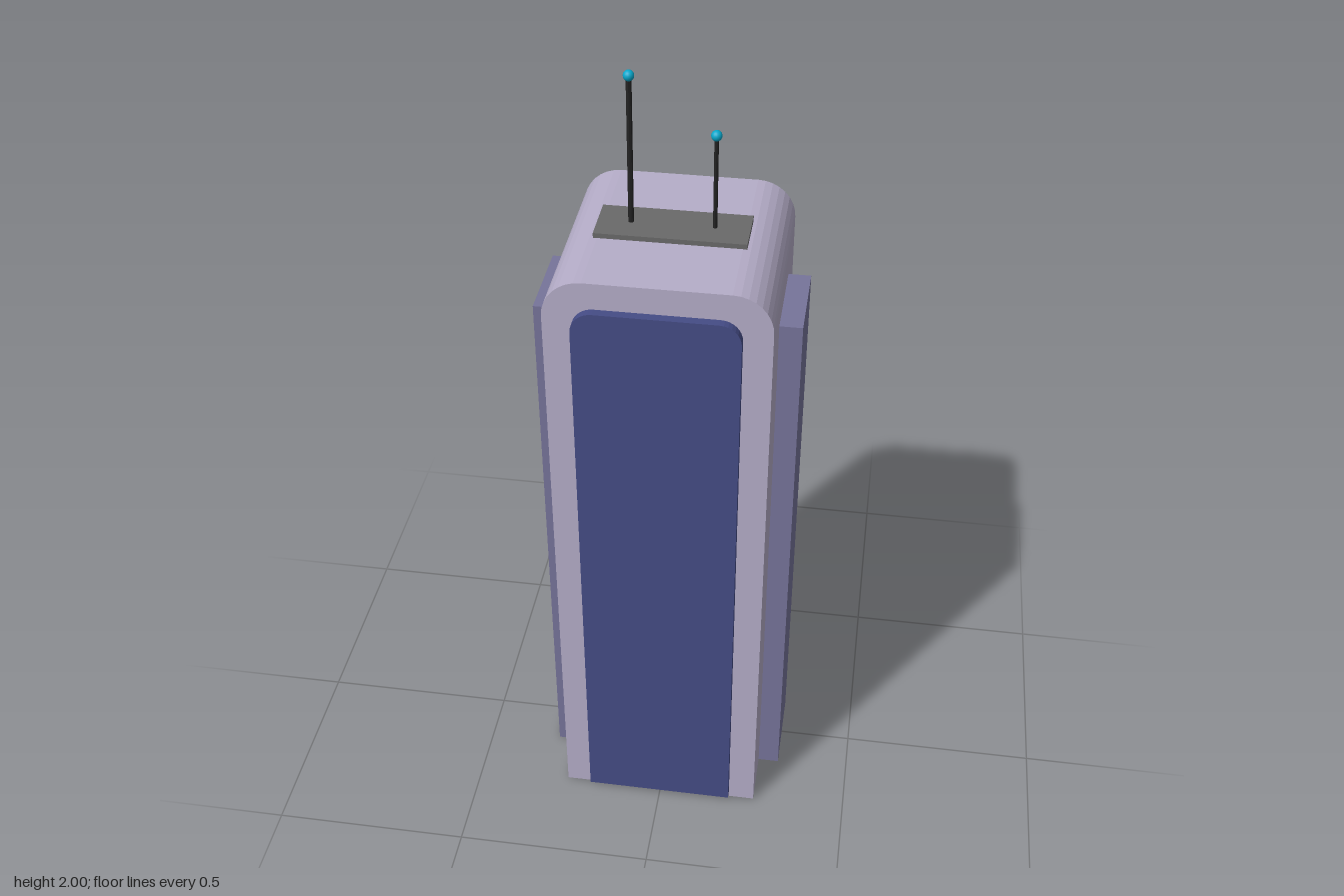
import * as THREE from 'three';

const mat = (color) => new THREE.MeshStandardMaterial({ color, flatShading: true });

// Slab with a square foot and rounded top corners, extruded along z and centred
function archedSlab(halfWidth, bottom, top, radius, depth) {
  const s = new THREE.Shape();
  s.moveTo(-halfWidth, bottom);
  s.lineTo(halfWidth, bottom);
  s.lineTo(halfWidth, top - radius);
  s.absarc(halfWidth - radius, top - radius, radius, 0, Math.PI / 2, false);
  s.lineTo(-halfWidth + radius, top);
  s.absarc(-halfWidth + radius, top - radius, radius, Math.PI / 2, Math.PI, false);
  s.closePath();
  return new THREE.ExtrudeGeometry(s, { depth, bevelEnabled: false, curveSegments: 4 })
    .translate(0, 0, -depth / 2);
}

export function createModel() {
  const model = new THREE.Group();
  model.name = 'tower';

  const add = (name, geometry, material, x = 0, y = 0, z = 0) => {
    const mesh = new THREE.Mesh(geometry, material);
    mesh.name = name;
    mesh.position.set(x, y, z);
    model.add(mesh);
    return mesh;
  };

  // Main block
  add('body', archedSlab(0.257, 0.002, 1.62, 0.092, 0.514), mat(0xb5adc8));

  // Glazed panels standing proud of the front and back
  const glass = mat(0x454c86);
  for (const [name, side] of [['frontPanel', 1], ['backPanel', -1]]) {
    add(name, archedSlab(0.19, 0.02, 1.555, 0.05, 0.04), glass, 0, 0, side * 0.259);
  }

  // Core slab running through the block and showing as a fin on each side
  add('sideFins', new THREE.BoxGeometry(0.622, 1.455, 0.225), mat(0x77749a), 0, 0.7275, 0);

  // Roof plate
  add('roofPlate', new THREE.BoxGeometry(0.349, 0.02, 0.13), mat(0x6a6a6a), 0, 1.622, 0);

  // Antennas with beacon lights
  const rodMat = mat(0x222222);
  const beaconMat = new THREE.MeshStandardMaterial({ color: 0x06a8cc });
  for (const [side, x, tip, radius] of [['right', -0.098, 1.9875, 0.0065], ['left', 0.094, 1.86, 0.005]]) {
    const base = 1.625;
    add(side + 'Antenna', new THREE.CylinderGeometry(radius, radius, tip - base, 8), rodMat, x, (tip + base) / 2, 0);
    add(side + 'Beacon', new THREE.SphereGeometry(0.0125, 16, 12), beaconMat, x, tip, 0);
  }

  return model;
}
